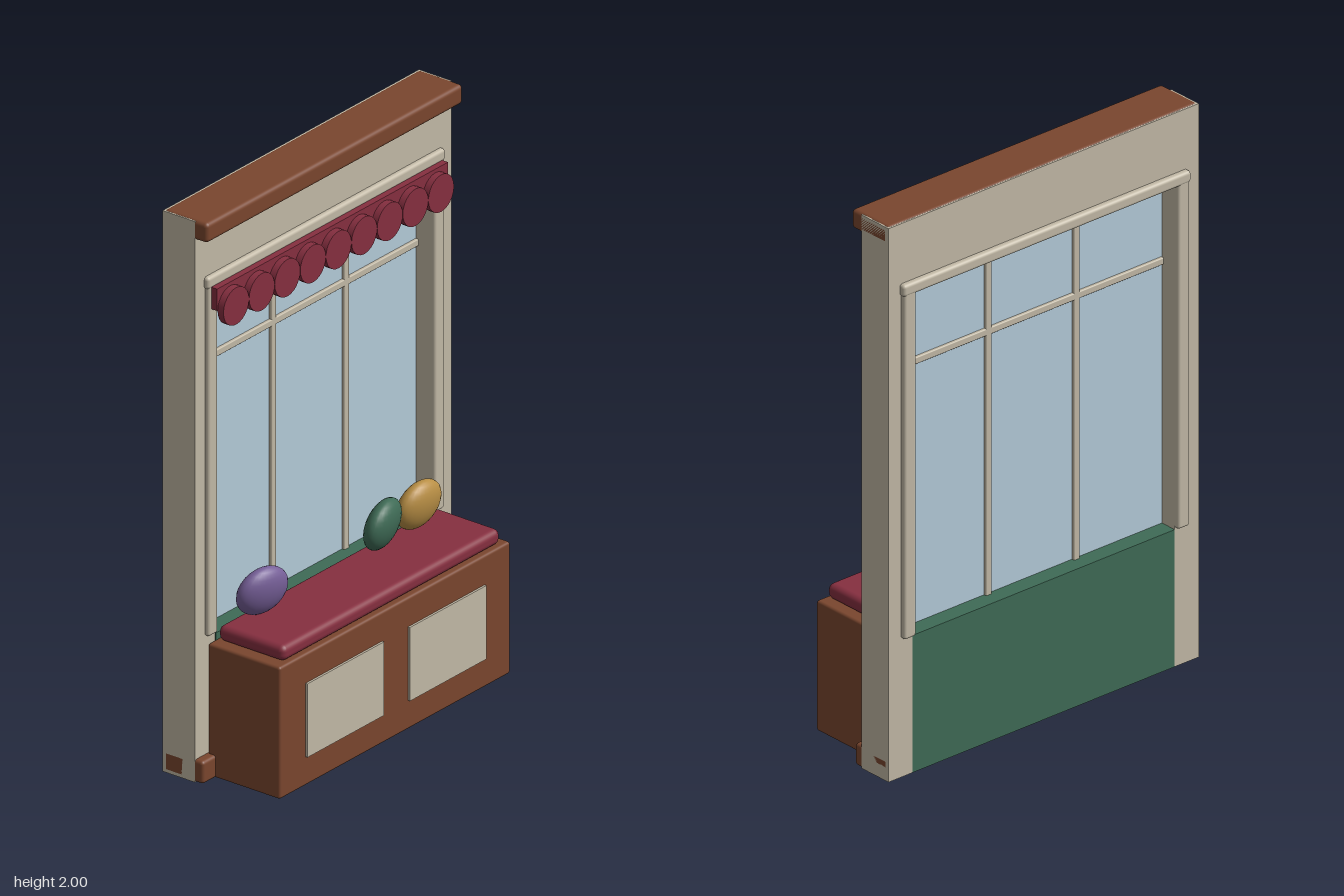
import * as THREE from 'three';
import { RoundedBoxGeometry } from 'three/addons/geometries/RoundedBoxGeometry.js';

const mat = (name, color, side = THREE.FrontSide) => {
  const m = new THREE.MeshStandardMaterial({ color, side });
  m.name = name;
  return m;
};

export function createModel() {
  const root = new THREE.Group();
  root.name = 'windowSeat';
  const plaster = mat('plaster', 0xc2b9a6);
  const wood = mat('wood', 0x7a462e);
  const red = mat('redFabric', 0x862f40);
  const green = mat('green', 0x3f6b56);
  const glass = mat('glass', 0xb4cbd9);
  const gold = mat('goldFabric', 0xb98f45);
  const purple = mat('purpleFabric', 0x765f98);

  const add = (name, geo, material, parent = root) => {
    const m = new THREE.Mesh(geo, material);
    m.name = name;
    parent.add(m);
    return m;
  };
  // Box from its limits; r > 0 rounds the edges
  const box = (name, material, [x0, x1], [y0, y1], [z0, z1], r = 0, parent = root) => {
    const s = [x1 - x0, y1 - y0, z1 - z0];
    const geo = r ? new RoundedBoxGeometry(...s, 3, r) : new THREE.BoxGeometry(...s);
    const m = add(name, geo, material, parent);
    m.position.set((x0 + x1) / 2, (y0 + y1) / 2, (z0 + z1) / 2);
    return m;
  };

  // Wall: an upside-down U around the window
  const W = 0.663, OPEN = 0.56, HEAD = 1.74;
  const outline = [[-W, 0], [-OPEN, 0], [-OPEN, HEAD], [OPEN, HEAD], [OPEN, 0], [W, 0], [W, 1.997], [-W, 1.997]];
  const shape = new THREE.Shape(outline.map(p => new THREE.Vector2(...p)));
  const wall = add('wall', new THREE.ExtrudeGeometry(shape, { depth: 0.132, bevelEnabled: false }), plaster);
  wall.position.z = -0.207;
  box('lowerPanel', green, [-OPEN, OPEN], [0, 0.495], [-0.207, -0.07]);

  // Crown and baseboard
  box('crown', wood, [-W, W], [1.93, 2], [-0.206, -0.025], 0.015);
  box('baseboard', wood, [-W, W], [0, 0.08], [-0.205, -0.042], 0.012);

  // Casing, standing proud on both faces of the wall
  const casing = new THREE.Group();
  casing.name = 'casing';
  root.add(casing);
  box('headCasing', plaster, [-0.615, 0.615], [1.737, 1.78], [-0.228, -0.058], 0.012, casing);
  for (const s of [-1, 1]) {
    const side = box('sideCasing', plaster, [0.56, 0.61], [0.5, 1.76], [-0.226, -0.06], 0.01, casing);
    side.position.x *= s;
  }

  // Window pane and glazing bars
  box('glass', glass, [-OPEN, OPEN], [0.49, HEAD], [-0.145, -0.137]);
  for (const x of [-0.188, 0.188])
    box('mullion', plaster, [x - 0.012, x + 0.012], [0.49, HEAD], [-0.156, -0.126], 0.004);
  box('transom', plaster, [-OPEN, OPEN], [1.432, 1.457], [-0.156, -0.126], 0.004);

  // Valance with a row of round scallops
  const valance = new THREE.Group();
  valance.name = 'valance';
  root.add(valance);
  box('valanceBand', red, [-0.597, 0.597], [1.665, 1.743], [-0.062, -0.036], 0, valance);
  const disc = new THREE.CylinderGeometry(0.066, 0.066, 0.024, 24).rotateX(Math.PI / 2);
  for (let i = 0; i < 9; i++)
    add('scallop', disc, red, valance).position.set((i - 4) * 0.1325, 1.665, -0.023);

  // Bench, front panels and cushion
  box('bench', wood, [-0.597, 0.597], [0, 0.47], [-0.075, 0.22], 0.01);
  for (const x of [-0.266, 0.264])
    box('benchPanel', plaster, [x - 0.198, x + 0.198], [0.104, 0.366], [0.219, 0.228]);
  box('cushion', red, [-0.563, 0.563], [0.47, 0.525], [-0.062, 0.208], 0.022);

  // Pillows leaning and turned on the seat
  const ball = new THREE.SphereGeometry(1, 24, 16);
  for (const [x, yaw, m] of [[-0.413, -0.2, purple], [0.21, 0.22, green], [0.396, 0, gold]]) {
    const pillow = add('pillow', ball, m);
    pillow.scale.set(0.102, 0.088, 0.046);
    pillow.position.set(x, 0.613, 0.002);
    pillow.rotation.set(0.22, yaw, 0);
  }
  return root;
}
